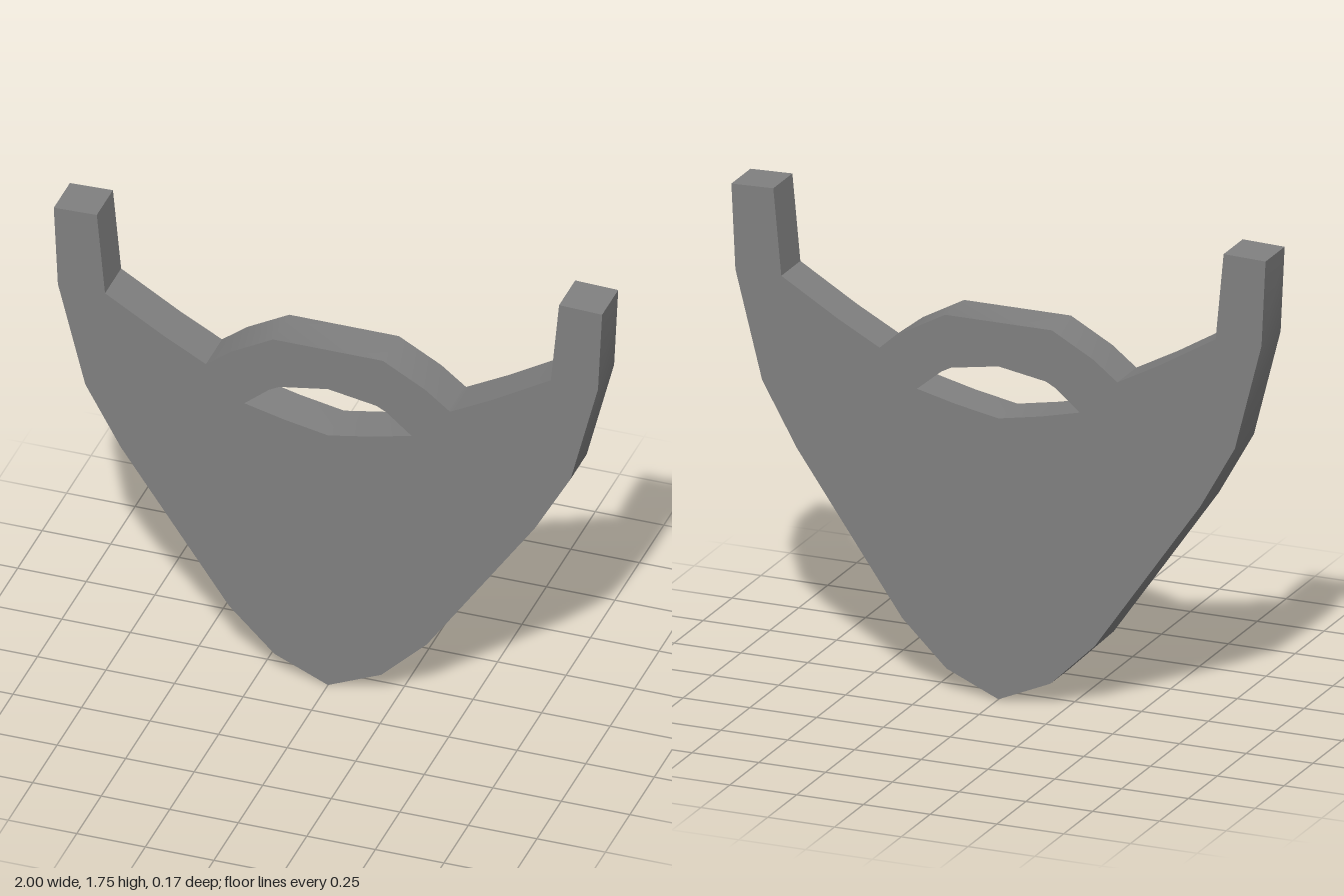
import * as THREE from 'three';
import { toCreasedNormals } from 'three/addons/utils/BufferGeometryUtils.js';

const DEPTH = 0.165;

// Closes a right-hand half profile by mirroring it across x = 0
function mirrored(half) {
  const other = half.filter(([x]) => x > 0).reverse().map(([x, y]) => [-x, y]);
  return [...half, ...other].map(([x, y]) => new THREE.Vector2(x, y));
}

export function createModel() {
  const group = new THREE.Group();
  group.name = 'beardPlate';

  const grey = new THREE.MeshStandardMaterial({ color: 0x808080 });
  grey.name = 'grey';

  // Outline from chin tip, up the cheek and sideburn, to the moustache
  const outline = mirrored([
    [0, 0], [0.195, 0.085], [0.36, 0.245], [0.755, 0.81], [0.885, 1.04],
    [0.985, 1.43], [1, 1.74], [0.843, 1.745], [0.813, 1.43],
    [0.6, 1.303], [0.445, 1.22], [0.355, 1.29], [0.2, 1.375],
  ]);

  // Mouth opening
  const mouth = mirrored([
    [0, 1.025], [0.16, 1.055], [0.305, 1.09], [0.215, 1.165], [0.178, 1.185], [0, 1.215],
  ]);

  const shape = new THREE.Shape(outline);
  shape.holes.push(new THREE.Path(mouth));

  const geometry = new THREE.ExtrudeGeometry(shape, { depth: DEPTH, bevelEnabled: false });
  geometry.translate(0, 0, -DEPTH / 2);

  // Smooth along the gentle bends, sharp at the corners
  const beard = new THREE.Mesh(toCreasedNormals(geometry, 0.6), grey);
  beard.name = 'beard';
  group.add(beard);
  return group;
}
